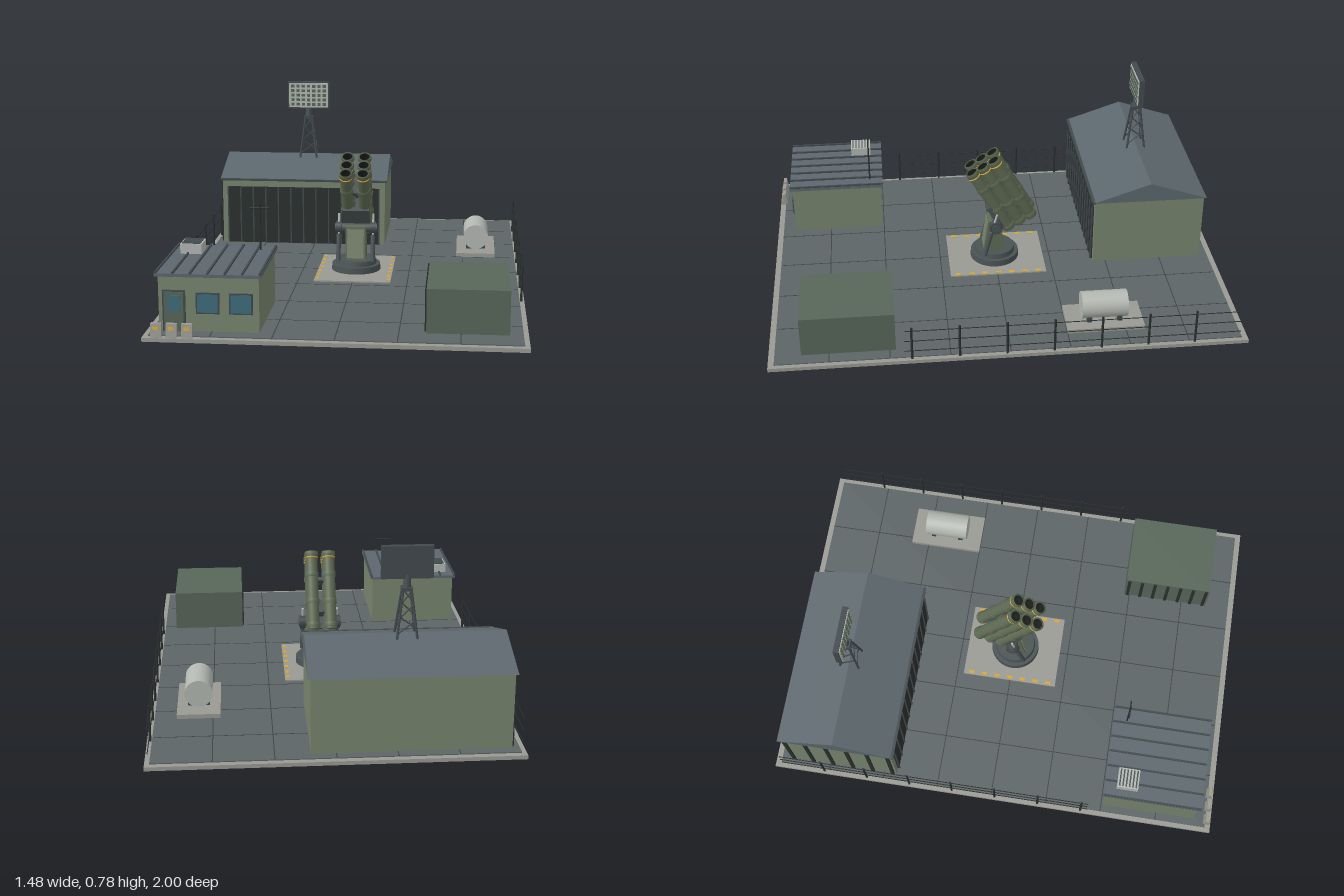
import * as THREE from 'three';

const mat = (color, extra = {}) => new THREE.MeshStandardMaterial({ color, ...extra });
const M = {
  concrete: mat(0x9a9a94), ground: mat(0x5c6466), joint: mat(0x3c4244), wall: mat(0x78856e),
  roof: mat(0x5c676d), trim: mat(0x424a4e), dark: mat(0x2b302f), green: mat(0x586659),
  tube: mat(0x5f6b54), gun: mat(0x4a5354), glass: mat(0x3f6c7c), yellow: mat(0xd9a52e),
  light: mat(0xb4b8b2), bore: mat(0x1c1f1e, { side: THREE.DoubleSide }),
};

function add(parent, name, geo, material, x = 0, y = 0, z = 0) {
  const mesh = new THREE.Mesh(geo, material);
  mesh.name = name;
  mesh.position.set(x, y, z);
  parent.add(mesh);
  return mesh;
}

// Box given by its extents on each axis
function box(parent, name, material, x0, x1, y0, y1, z0, z1) {
  return add(parent, name, new THREE.BoxGeometry(x1 - x0, y1 - y0, z1 - z0), material,
    (x0 + x1) / 2, (y0 + y1) / 2, (z0 + z1) / 2);
}

// Thin round bar between two points
function rod(parent, name, material, a, b, r, sides = 8) {
  const p = new THREE.Vector3(...a), q = new THREE.Vector3(...b);
  const mesh = add(parent, name, new THREE.CylinderGeometry(r, r, p.distanceTo(q), sides), material);
  mesh.position.copy(p).add(q).multiplyScalar(0.5);
  mesh.quaternion.setFromUnitVectors(new THREE.Vector3(0, 1, 0), q.sub(p).normalize());
  return mesh;
}

// Outline in (z, y) extruded along x
function prism(parent, name, material, points, x0, x1) {
  const shape = new THREE.Shape(points.map(([z, y]) => new THREE.Vector2(-z, y)));
  const geo = new THREE.ExtrudeGeometry(shape, { depth: x1 - x0, bevelEnabled: false });
  geo.rotateY(Math.PI / 2);
  return add(parent, name, geo, material, x0);
}

function group(parent, name, x = 0, y = 0, z = 0) {
  const g = new THREE.Group();
  g.name = name;
  g.position.set(x, y, z);
  parent.add(g);
  return g;
}

function buildGround(root) {
  const g = group(root, 'ground');
  box(g, 'slab', M.concrete, -0.74, 0.74, 0, 0.016, -1, 1);
  box(g, 'paving', M.ground, -0.72, 0.72, 0.016, 0.02, -0.975, 0.975);
  for (let x = -0.48; x < 0.5; x += 0.24) box(g, 'joint', M.joint, x - 0.002, x + 0.002, 0.019, 0.0206, -0.975, 0.975);
  for (let z = -0.75; z < 0.8; z += 0.25) box(g, 'joint', M.joint, -0.72, 0.72, 0.019, 0.0206, z - 0.002, z + 0.002);
}

function buildFence(root, side) {
  const g = group(root, 'fence', side * 0.727);
  for (let i = 0; i < 7; i++) {
    const z = 0.41 - i * 0.197;
    rod(g, 'fencePost', M.dark, [0, 0.016, z], [0, 0.17, z], 0.005);
  }
  for (const y of [0.055, 0.105, 0.155]) rod(g, 'fenceRail', M.dark, [0, y, 0.44], [0, y, -0.965], 0.002, 6);
}

function buildHangar(root) {
  const g = group(root, 'hangar');
  box(g, 'hangarWalls', M.wall, -0.69, 0.1, 0.02, 0.336, -0.937, -0.443);
  prism(g, 'hangarRoof', M.roof, [[-0.432, 0.333], [-0.69, 0.42], [-0.948, 0.333]], -0.7, 0.11);
  box(g, 'eaveTrim', M.trim, -0.7, 0.11, 0.328, 0.337, -0.442, -0.43);
  // Sliding door leaves
  box(g, 'hangarDoor', M.dark, -0.665, 0.075, 0.02, 0.297, -0.45, -0.436);
  for (let i = 0; i <= 12; i++) {
    const x = -0.662 + i * 0.0612;
    box(g, 'doorRib', M.trim, x - 0.003, x + 0.003, 0.02, 0.295, -0.438, -0.431);
  }
  // Ribs on the outer end wall
  for (let i = 0; i < 6; i++) {
    const z = -0.92 + i * 0.092;
    box(g, 'wallRib', M.dark, -0.697, -0.688, 0.02, 0.332, z - 0.008, z + 0.008);
  }
}

function buildRadar(root) {
  const g = group(root, 'radar', -0.295, 0, -0.688);
  const corners = [[-1, 1], [1, 1], [1, -1], [-1, -1]];
  const at = ([sx, sz], t) => {
    const r = 0.042 - 0.026 * t;
    return [sx * r, 0.395 + 0.21 * t, sz * r];
  };
  corners.forEach((c, i) => {
    const next = corners[(i + 1) % 4];
    rod(g, 'towerLeg', M.trim, at(c, 0), at(c, 1), 0.005);
    for (const t of [0.15, 0.45, 0.72]) rod(g, 'towerBrace', M.trim, at(c, t), at(next, t + 0.25), 0.003, 6);
  });
  box(g, 'towerHead', M.trim, -0.022, 0.022, 0.597, 0.61, -0.022, 0.022);
  add(g, 'turningNeck', new THREE.CylinderGeometry(0.014, 0.016, 0.06, 16), M.gun, 0, 0.632, 0);
  box(g, 'antennaBack', M.trim, -0.103, 0.103, 0.647, 0.78, -0.012, 0.012);
  box(g, 'antennaFace', M.light, -0.097, 0.097, 0.653, 0.774, 0.01, 0.015);
  for (let i = 0; i < 7; i++) for (let j = 0; j < 5; j++) {
    const x = (i - 3) * 0.026, y = 0.7135 + (j - 2) * 0.0225;
    box(g, 'antennaCell', M.green, x - 0.008, x + 0.008, y - 0.007, y + 0.007, 0.014, 0.018);
  }
}

function buildControlHut(root) {
  const g = group(root, 'controlHut');
  box(g, 'hutWalls', M.wall, -0.688, -0.295, 0.02, 0.242, 0.508, 0.918);
  box(g, 'hutRoof', M.roof, -0.7, -0.285, 0.24, 0.253, 0.497, 0.93);
  for (let i = 0; i < 7; i++) {
    const x = -0.695 + i * 0.0675;
    box(g, 'roofSeam', M.trim, x - 0.004, x + 0.004, 0.252, 0.26, 0.497, 0.93);
  }
  box(g, 'doorFrame', M.trim, -0.672, -0.582, 0.02, 0.185, 0.915, 0.924);
  box(g, 'hutDoor', M.green, -0.665, -0.589, 0.02, 0.179, 0.92, 0.928);
  box(g, 'doorWindow', M.glass, -0.65, -0.603, 0.102, 0.165, 0.924, 0.931);
  for (const x of [-0.495, -0.365]) {
    box(g, 'windowFrame', M.trim, x - 0.046, x + 0.046, 0.093, 0.177, 0.915, 0.924);
    box(g, 'windowPane', M.glass, x - 0.04, x + 0.04, 0.099, 0.171, 0.92, 0.927);
  }
  // Rooftop cooler with slats
  box(g, 'cooler', M.light, -0.66, -0.572, 0.253, 0.294, 0.55, 0.642);
  for (let i = 0; i < 6; i++) {
    const z = 0.56 + i * 0.0145;
    box(g, 'coolerSlat', M.gun, -0.654, -0.578, 0.292, 0.298, z - 0.003, z + 0.003);
  }
  rod(g, 'mast', M.dark, [-0.345, 0.25, 0.557], [-0.345, 0.47, 0.557], 0.0035);
  rod(g, 'mastCrossbar', M.dark, [-0.385, 0.43, 0.557], [-0.308, 0.43, 0.557], 0.003);
  // Short barriers in front of the hut
  for (const x of [-0.685, -0.625, -0.565]) {
    prism(g, 'barrier', M.concrete, [[0.966, 0.016], [0.996, 0.016], [0.988, 0.071], [0.974, 0.071]], x - 0.021, x + 0.021);
    const mark = box(g, 'barrierMark', M.yellow, x - 0.011, x + 0.011, 0.046, 0.058, 0.987, 0.992);
    mark.rotation.x = -0.14;
  }
}

function buildContainer(root) {
  const g = group(root, 'container');
  box(g, 'containerBody', M.green, 0.345, 0.667, 0.02, 0.198, 0.475, 0.865);
  for (let i = 0; i < 7; i++) {
    const z = 0.49 + i * 0.06;
    box(g, 'containerRib', M.dark, 0.339, 0.347, 0.025, 0.193, z - 0.007, z + 0.007);
  }
}

function buildTank(root) {
  const g = group(root, 'fuelTank', 0.539, 0, -0.415);
  box(g, 'tankPad', M.concrete, -0.09, 0.09, 0.018, 0.038, -0.165, 0.165);
  add(g, 'tankBody', new THREE.CylinderGeometry(0.058, 0.058, 0.196, 32), M.light, 0, 0.1, 0).rotation.x = Math.PI / 2;
  for (const z of [-0.065, 0.065]) box(g, 'tankSaddle', M.trim, -0.045, 0.045, 0.036, 0.07, z - 0.01, z + 0.01);
}

function buildLauncher(root) {
  const g = group(root, 'launcher');
  box(g, 'launcherPad', M.concrete, -0.17, 0.167, 0.018, 0.026, -0.22, 0.212);
  for (const x of [-0.157, 0.155]) for (let i = 0; i < 7; i++) {
    const z = -0.184 + i * 0.06;
    box(g, 'padMark', M.yellow, x - 0.007, x + 0.007, 0.025, 0.0275, z - 0.012, z + 0.012);
  }
  add(g, 'turntableBase', new THREE.CylinderGeometry(0.108, 0.11, 0.028, 40), M.gun, 0, 0.04, 0);
  add(g, 'turntable', new THREE.CylinderGeometry(0.088, 0.092, 0.022, 40), M.gun, 0, 0.065, 0);
  // Pedestal and trunnion yoke
  prism(g, 'pedestal', M.tube, [[0.052, 0.074], [0.03, 0.225], [-0.02, 0.235], [-0.045, 0.074]], -0.045, 0.045);
  const panel = box(g, 'pedestalPanel', M.wall, -0.037, 0.037, 0.085, 0.215, 0.039, 0.045);
  panel.rotation.x = -0.145;
  rod(g, 'trunnion', M.gun, [-0.095, 0.215, 0], [0.095, 0.215, 0], 0.02, 20);
  for (const s of [-1, 1]) {
    rod(g, 'trunnionCap', M.trim, [s * 0.066, 0.215, 0], [s * 0.09, 0.215, 0], 0.029, 20);
    rod(g, 'elevatingRam', M.gun, [s * 0.077, 0.07, 0.05], [s * 0.077, 0.19, 0.02], 0.01, 12);
    rod(g, 'ramPiston', M.light, [s * 0.077, 0.18, 0.0225], [s * 0.077, 0.28, -0.005], 0.005, 10);
  }
  // Tilted pack: local y runs toward the muzzles, local z toward the lower row
  const pack = group(g, 'tubePack', 0, 0.364, -0.03);
  pack.rotation.x = Math.PI / 6;
  box(pack, 'cradle', M.gun, -0.06, 0.06, -0.15, -0.02, 0.066, 0.092);
  for (const y of [-0.09, 0.05]) box(pack, 'clampBand', M.gun, -0.045, 0.045, y - 0.008, y + 0.008, -0.06, 0.06);
  for (const x of [-0.038, 0.038]) for (const z of [-0.056, 0, 0.056]) {
    const t = group(pack, 'launchTube', x, 0, z);
    const wall = [[0, -0.172], [0.026, -0.172], [0.026, 0.172], [0.022, 0.172], [0.022, 0.12]];
    add(t, 'tubeBody', new THREE.LatheGeometry(wall.map(p => new THREE.Vector2(...p)), 24),
      mat(0x5f6b54, { side: THREE.DoubleSide }));
    add(t, 'tubeBore', new THREE.CylinderGeometry(0.0218, 0.0218, 0.05, 24, 1, true), M.bore, 0, 0.147, 0);
    add(t, 'tubeSeal', new THREE.CircleGeometry(0.022, 24), M.bore, 0, 0.13, 0).rotation.x = -Math.PI / 2;
    for (const y of [-0.155, -0.05, 0.07, 0.163]) {
      const ring = [[0.025, y - 0.01], [0.0295, y - 0.01], [0.0295, y + 0.01], [0.025, y + 0.01]];
      add(t, 'tubeCollar', new THREE.LatheGeometry(ring.map(p => new THREE.Vector2(...p)), 24), M.tube);
    }
    add(t, 'muzzleRing', new THREE.TorusGeometry(0.0265, 0.003, 8, 24), M.yellow, 0, 0.147, 0).rotation.x = Math.PI / 2;
  }
}

export function createModel() {
  const root = new THREE.Group();
  root.name = 'launchSite';
  buildGround(root);
  for (const side of [-1, 1]) buildFence(root, side);
  buildHangar(root);
  buildRadar(root);
  buildControlHut(root);
  buildContainer(root);
  buildTank(root);
  buildLauncher(root);
  return root;
}
